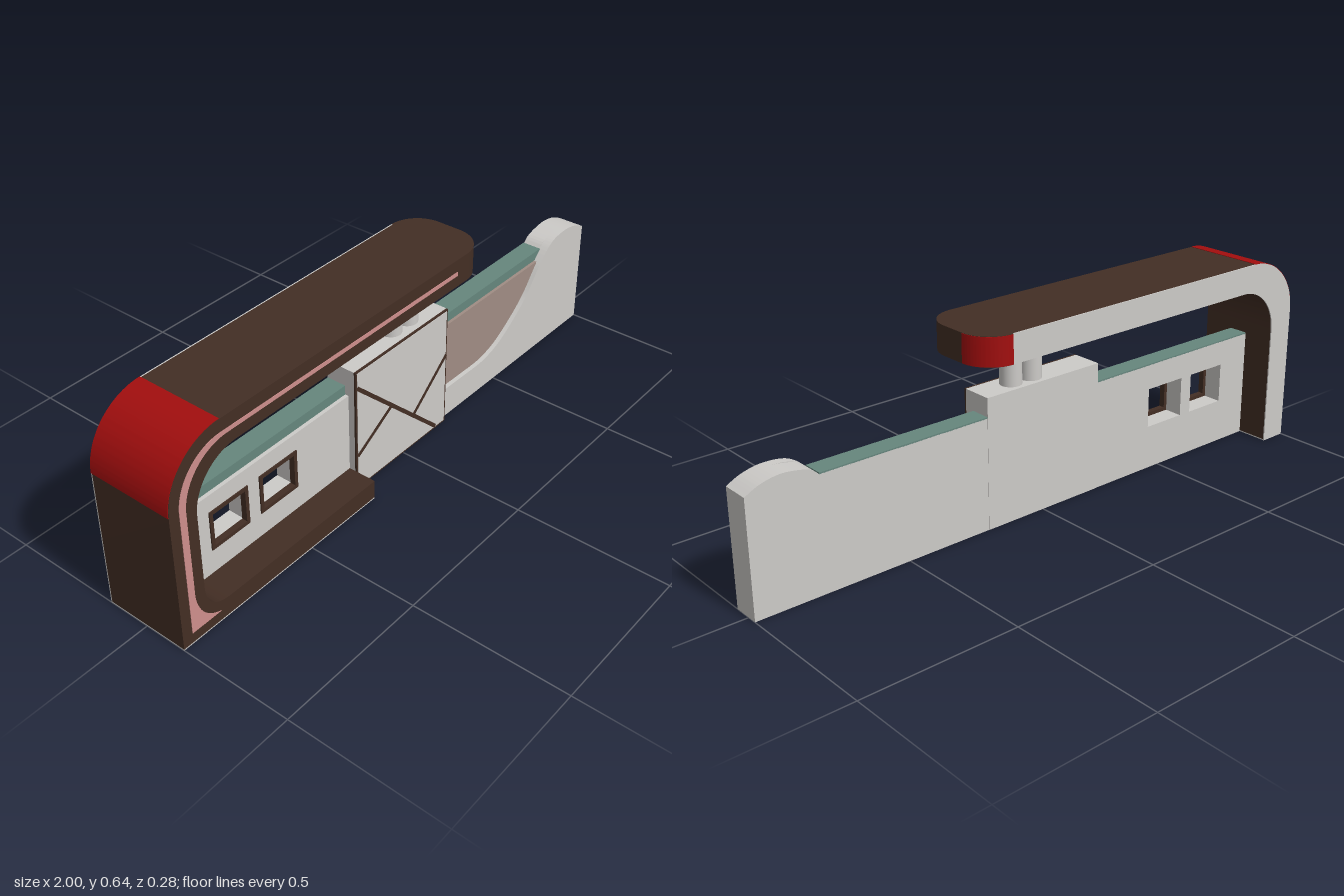
import * as THREE from 'three';
import { toCreasedNormals } from 'three/addons/utils/BufferGeometryUtils.js';

const mat = (name, color) => Object.assign(new THREE.MeshStandardMaterial({ color }), { name });

export function createModel() {
  const brown = mat('dark brown', 0x432e24);
  const grey = mat('light grey', 0xcdcbc8);
  const red = mat('red', 0xa30e0e);
  const pink = mat('pink', 0xcf8f8d);
  const green = mat('grey green', 0x66867d);
  const mauve = mat('mauve brown', 0xa08d84);
  const olive = mat('olive', 0x6e6632);

  const model = new THREE.Group();
  const PI = Math.PI;

  function add(parent, name, geometry, material) {
    const mesh = new THREE.Mesh(geometry, material);
    mesh.name = name;
    parent.add(mesh);
    return mesh;
  }
  function group(name) {
    const g = new THREE.Group();
    g.name = name;
    model.add(g);
    return g;
  }
  // box given by its limits
  function box(parent, name, material, x0, x1, y0, y1, z0, z1) {
    const mesh = add(parent, name, new THREE.BoxGeometry(x1 - x0, y1 - y0, z1 - z0), material);
    mesh.position.set((x0 + x1) / 2, (y0 + y1) / 2, (z0 + z1) / 2);
    return mesh;
  }
  // front outline extruded from z0 to z1
  function slab(parent, name, material, shape, z0, z1) {
    const g = new THREE.ExtrudeGeometry(shape, { depth: z1 - z0, bevelEnabled: false, curveSegments: 24 });
    g.translate(0, 0, z0);
    return add(parent, name, toCreasedNormals(g, 0.5), material);
  }
  // plan outline (x, z) extruded downward from the height top
  function plan(parent, name, material, shape, top, depth) {
    const g = new THREE.ExtrudeGeometry(shape, { depth, bevelEnabled: false, curveSegments: 24 });
    g.rotateX(PI / 2).translate(0, top, 0);
    return add(parent, name, toCreasedNormals(g, 0.5), material);
  }
  function rect(P, x0, x1, y0, y1) {
    return new P().moveTo(x0, y0).lineTo(x1, y0).lineTo(x1, y1).lineTo(x0, y1).closePath();
  }
  // slice of a ring, for curved facings
  function arcStrip(cx, cy, r0, r1, a0, a1) {
    const s = new THREE.Shape();
    s.absarc(cx, cy, r1, a0, a1, false);
    s.absarc(cx, cy, r0, a1, a0, true);
    return s.closePath();
  }

  // Canopy: leg and roof in one bent band
  const canopy = group('canopy');
  const band = new THREE.Shape();
  band.moveTo(-1, 0.004).lineTo(-0.91, 0.004).lineTo(-0.91, 0.4);
  band.absarc(-0.76, 0.4, 0.15, PI, PI / 2, true);
  band.lineTo(0.205, 0.55).lineTo(0.205, 0.64).lineTo(-0.81, 0.64);
  band.absarc(-0.81, 0.45, 0.19, PI / 2, PI, false);
  band.closePath();
  slab(canopy, 'canopyBand', brown, band, -0.136, 0.14);
  slab(canopy, 'canopyBackFace', grey, band, -0.14, -0.136);
  slab(canopy, 'cornerFacing', red, arcStrip(-0.81, 0.45, 0.187, 0.1915, PI / 2, PI), -0.139, 0.139);

  // rounded roof tip with a red back corner
  const tip = new THREE.Shape().moveTo(0.205, -0.14);
  tip.absarc(0.205, -0.04, 0.1, -PI / 2, 0, false);
  tip.absarc(0.205, 0.04, 0.1, 0, PI / 2, false);
  tip.closePath();
  plan(canopy, 'roofTip', brown, tip, 0.64, 0.09);
  plan(canopy, 'tipFacing', red, arcStrip(0.205, -0.04, 0.097, 0.1015, -PI / 2, 0), 0.639, 0.088);

  // low front arm
  const arm = new THREE.Shape().moveTo(-0.91, 0.004).lineTo(-0.222, 0.004);
  arm.lineTo(-0.222, 0.065).lineTo(-0.82, 0.065);
  arm.quadraticCurveTo(-0.91, 0.065, -0.91, 0.16).closePath();
  slab(canopy, 'frontArm', brown, arm, 0.045, 0.14);
  box(canopy, 'legSole', grey, -1, -0.91, 0, 0.004, -0.14, 0.14);
  box(canopy, 'armSole', grey, -0.91, -0.222, 0, 0.004, 0.045, 0.14);

  // pink stripe following the band
  const stripe = new THREE.Shape().moveTo(-0.967, 0.037).lineTo(-0.86, 0.037);
  stripe.quadraticCurveTo(-0.935, 0.06, -0.945, 0.15).lineTo(-0.945, 0.43);
  stripe.absellipse(-0.79, 0.43, 0.155, 0.157, PI, PI / 2, true);
  stripe.lineTo(0.16, 0.587).lineTo(0.16, 0.6).lineTo(-0.81, 0.6);
  stripe.absellipse(-0.81, 0.44, 0.157, 0.16, PI / 2, PI, false);
  stripe.closePath();
  slab(canopy, 'frontStripe', pink, stripe, 0.139, 0.1415);

  // round lamps under the roof
  for (const x of [0.21, -0.11, -0.38, -0.655]) {
    const lamp = add(canopy, 'lamp', new THREE.CylinderGeometry(0.03, 0.03, 0.006, 24), olive);
    lamp.position.set(x, 0.549, 0);
  }

  // Wall with two windows and a wave at its right end
  const wall = group('wall');
  const windows = [[-0.79, -0.645], [-0.6, -0.45]];
  const [wy0, wy1] = [0.145, 0.275];
  const pts = (list) => list.map(([x, y]) => new THREE.Vector2(x, y));
  const hump = [[0.81, 0.38], [0.885, 0.393], [0.95, 0.383], [1, 0.36]];

  const core = new THREE.Shape().moveTo(1, 0).lineTo(1, 0.36);
  core.splineThru(pts([...hump].reverse().slice(1).concat([[0.778, 0.357]])));
  core.lineTo(-0.91, 0.357).lineTo(-0.91, 0).closePath();
  const leftPanel = rect(THREE.Shape, -0.91, -0.222, 0, 0.33);
  for (const [x0, x1] of windows) {
    core.holes.push(rect(THREE.Path, x0, x1, wy0, wy1));
    leftPanel.holes.push(rect(THREE.Path, x0, x1, wy0, wy1));
    const frame = rect(THREE.Shape, x0, x1, wy0, wy1);
    frame.holes.push(rect(THREE.Path, x0 + 0.012, x1 - 0.012, wy0 + 0.012, wy1 - 0.012));
    slab(wall, 'windowFrame', brown, frame, 0.03, 0.049);
  }
  slab(wall, 'wallCore', grey, core, -0.032, 0.03);
  slab(wall, 'leftPanel', grey, leftPanel, 0.03, 0.045);

  const wave = new THREE.Shape().moveTo(0.212, 0).lineTo(0.212, 0.105).lineTo(0.38, 0.103);
  wave.splineThru(pts([[0.45, 0.108], [0.54, 0.14], [0.66, 0.225], [0.745, 0.325], ...hump]));
  wave.lineTo(1, 0).closePath();
  slab(wall, 'waveFront', grey, wave, 0.03, 0.058);
  box(wall, 'recessPanel', mauve, 0.212, 0.745, 0.09, 0.33, 0.03, 0.043);

  // green coping: top and front only
  box(wall, 'copingTop', green, -0.91, 0.778, 0.356, 0.361, -0.032, 0.033);
  box(wall, 'copingFront', green, -0.91, 0.778, 0.33, 0.358, 0.028, 0.033);

  // Centre block with cracked front
  const block = group('centreBlock');
  const [bx0, bx1, top] = [-0.222, 0.212, 0.42];
  box(block, 'blockBody', grey, bx0, bx1, 0, top, -0.033, 0.066);
  box(block, 'blockEdge', brown, bx0, bx1, 0, top, 0.066, 0.072);
  box(block, 'blockFace', grey, bx0 + 0.006, bx1 - 0.006, 0.006, top - 0.005, 0.07, 0.0735);
  const lines = [
    [-0.217, 0.366, 0.16, 0.009],
    [0.207, 0.256, 0.045, 0.118],
    [-0.217, 0.121, -0.06, 0.216],
  ];
  for (const [x0, y0, x1, y1] of lines) {
    const line = add(block, 'frontLine',
      new THREE.BoxGeometry(Math.hypot(x1 - x0, y1 - y0), 0.013, 0.004), brown);
    line.position.set((x0 + x1) / 2, (y0 + y1) / 2, 0.0725);
    line.rotation.z = Math.atan2(y1 - y0, x1 - x0);
  }

  // twin posts carrying the roof
  for (const x of [0.01, 0.086]) {
    const post = add(block, 'post', new THREE.CylinderGeometry(0.034, 0.034, 0.13, 32), grey);
    post.position.set(x, 0.485, 0.014);
  }
  return model;
}
